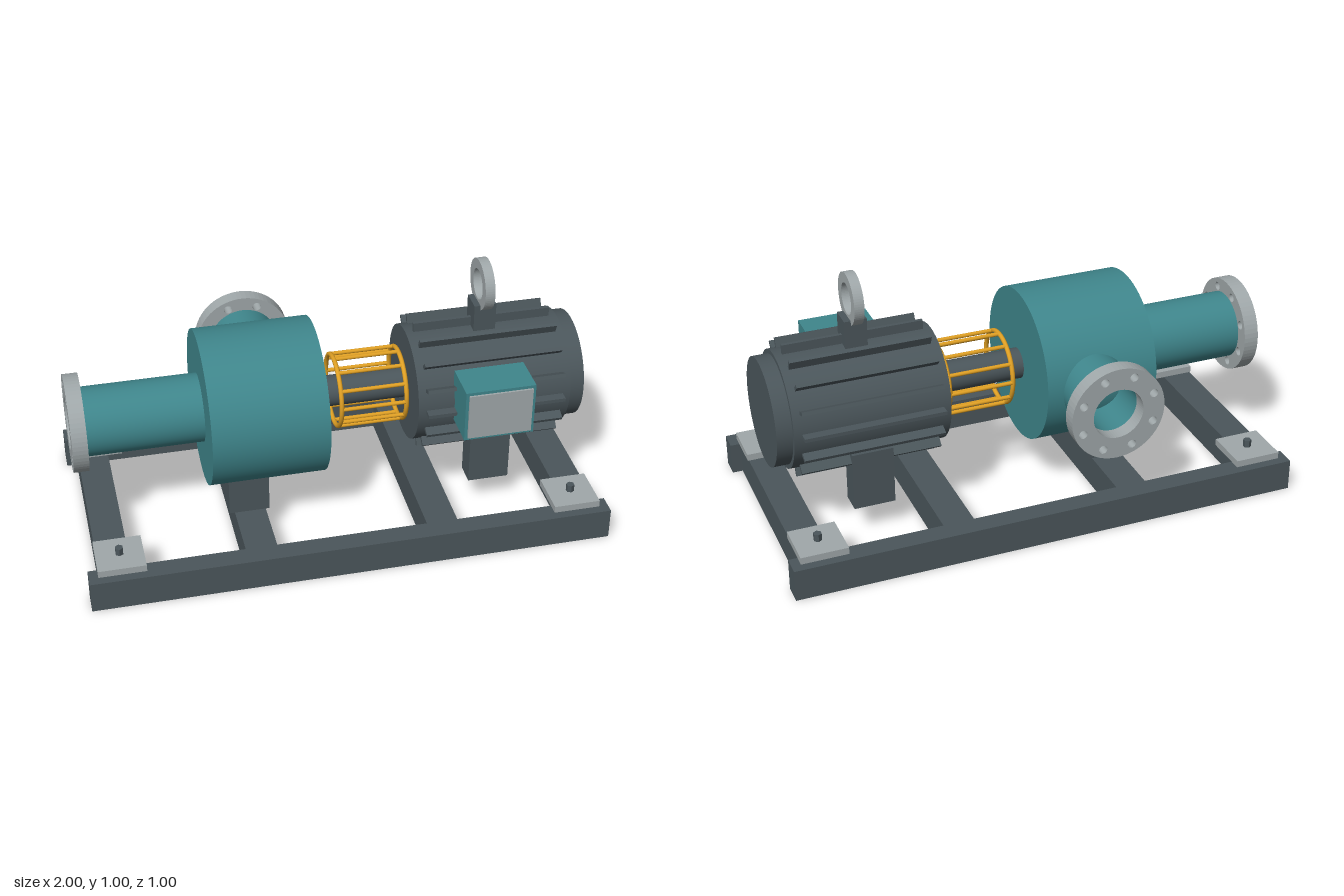
import * as THREE from 'three';

const paint = (color) => new THREE.MeshStandardMaterial({ color });
const teal = paint(0x3f868c), dark = paint(0x4b565b), steel = paint(0xa0a8aa), yellow = paint(0xe0a024);
const AXIS_Y = 0.5; // height of the common shaft line

export function createModel() {
  const model = new THREE.Group();
  model.name = 'motorPumpSkid';

  const add = (name, geometry, material, parent = model) => {
    const mesh = new THREE.Mesh(geometry, material);
    mesh.name = name;
    parent.add(mesh);
    return mesh;
  };
  // Box given by its lower and upper limits on each axis
  const box = (name, [x0, x1], [y0, y1], [z0, z1], material, parent) => {
    const mesh = add(name, new THREE.BoxGeometry(x1 - x0, y1 - y0, z1 - z0), material, parent);
    mesh.position.set((x0 + x1) / 2, (y0 + y1) / 2, (z0 + z1) / 2);
    return mesh;
  };
  // Cylinder lying on the shaft line
  const drum = (name, x0, x1, radius, material, parent) => {
    const geometry = new THREE.CylinderGeometry(radius, radius, x1 - x0, 72).rotateZ(Math.PI / 2);
    const mesh = add(name, geometry, material, parent);
    mesh.position.set((x0 + x1) / 2, AXIS_Y, 0);
    return mesh;
  };
  const group = (name) => {
    const g = new THREE.Group();
    g.name = name;
    model.add(g);
    return g;
  };
  // Flat ring in the xy plane, extruded along +z, with optional bolt holes
  const ring = (outer, inner, depth, holes = 0, pitch = 0, holeRadius = 0) => {
    const shape = new THREE.Shape().absarc(0, 0, outer, 0, Math.PI * 2);
    shape.holes.push(new THREE.Path().absarc(0, 0, inner, 0, Math.PI * 2, true));
    for (let i = 0; i < holes; i++) {
      const a = (i + 0.5) / holes * Math.PI * 2;
      shape.holes.push(new THREE.Path().absarc(pitch * Math.cos(a), pitch * Math.sin(a), holeRadius, 0, Math.PI * 2, true));
    }
    return new THREE.ExtrudeGeometry(shape, { depth, bevelEnabled: false, curveSegments: 32 });
  };

  // Base frame: two long rails and four cross members
  const base = group('baseFrame');
  for (const s of [-1, 1]) {
    box('rail', [-1, 1], [0, 0.125], s > 0 ? [0.42, 0.5] : [-0.5, -0.42], dark, base);
  }
  for (const x of [-0.9, -0.35, 0.35, 0.9]) {
    box('crossMember', [x - 0.06, x + 0.06], [0, 0.125], [-0.42, 0.42], dark, base);
  }

  // Corner mounting pads with hexagonal anchor bolts
  for (const x of [-0.875, 0.875]) {
    for (const z of [-0.375, 0.375]) {
      box('mountingPad', [x - 0.09, x + 0.09], [0.125, 0.152], [z - 0.09, z + 0.09], steel, base);
      const bolt = add('anchorBolt', new THREE.CylinderGeometry(0.016, 0.016, 0.04, 6).toNonIndexed(), dark, base);
      bolt.geometry.computeVertexNormals();
      bolt.position.set(x, 0.161, z);
    }
  }

  // Pump casing and feet
  const pump = group('pump');
  drum('pumpCasing', -0.5, -0.055, 0.3, teal, pump);
  for (const z of [[0.107, 0.195], [-0.195, -0.107]]) {
    box('pumpFoot', [-0.43, -0.275], [0.125, 0.277], z, dark, pump);
  }

  // Hollow nozzle along +z, ending in a drilled flange at z = length
  const nozzle = (name, inset, length) => {
    const g = new THREE.Group();
    g.name = name;
    const end = length - 0.058;
    const wall = [[0.132, inset], [0.132, end], [0.1, end], [0.1, inset]].map(([r, z]) => new THREE.Vector2(r, z));
    // Separate wall strips keep the rim sharp
    for (let i = 0; i < 3; i++) {
      const tube = new THREE.LatheGeometry([wall[i], wall[i + 1]], 64).rotateX(Math.PI / 2);
      add('nozzlePipe', tube, i === 0 ? teal : nozzleInside, g);
    }
    add('nozzleFlange', ring(0.186, 0.1, 0.058, 8, 0.152, 0.017), steel, g).position.z = end;
    pump.add(g);
    return g;
  };
  const nozzleInside = teal.clone();
  nozzleInside.side = THREE.DoubleSide;
  const inlet = nozzle('inletNozzle', 0.49, 1);
  inlet.position.y = AXIS_Y;
  inlet.rotation.y = -Math.PI / 2;
  const outlet = nozzle('outletNozzle', 0.265, 0.5);
  outlet.position.set(-0.25, AXIS_Y, 0);
  outlet.rotation.y = Math.PI;

  // Coupling shaft and its cage guard
  drum('shaft', -0.06, 0.31, 0.06, dark);
  const guard = group('couplingGuard');
  for (const x of [0.022, 0.275]) {
    const hoop = add('guardHoop', new THREE.TorusGeometry(0.14, 0.009, 10, 48).rotateY(Math.PI / 2), yellow, guard);
    hoop.position.set(x, AXIS_Y, 0);
  }
  for (let i = 0; i < 12; i++) {
    const a = i / 12 * Math.PI * 2;
    const rod = add('guardRod', new THREE.CylinderGeometry(0.008, 0.008, 0.255, 10).rotateZ(Math.PI / 2), yellow, guard);
    rod.position.set(0.1485, AXIS_Y + 0.14 * Math.sin(a), 0.14 * Math.cos(a));
  }

  // Motor body, end cover, cooling fins and feet
  const motor = group('motor');
  drum('motorBody', 0.3, 0.9, 0.225, dark, motor);
  drum('motorEndCover', 0.895, 0.96, 0.208, dark, motor);
  for (let i = 0; i < 16; i++) {
    const fin = add('coolingFin', new THREE.BoxGeometry(0.54, 0.06, 0.014).translate(0, 0.231, 0), dark, motor);
    fin.position.set(0.6, AXIS_Y, 0);
    fin.rotation.x = i / 16 * Math.PI * 2;
  }
  for (const z of [[0.107, 0.195], [-0.195, -0.107]]) {
    box('motorFoot', [0.52, 0.68], [0.125, 0.357], z, dark, motor);
  }

  // Terminal box with cover plate on the front of the motor
  box('terminalBox', [0.44, 0.71], [0.447, 0.657], [0.2, 0.36], teal, motor);
  box('terminalCover', [0.452, 0.698], [0.459, 0.645], [0.355, 0.368], steel, motor);

  // Lifting eye
  box('liftingBlock', [0.557, 0.643], [0.7, 0.83], [-0.045, 0.045], dark, motor);
  const eye = add('liftingEye', ring(0.1, 0.06, 0.038).rotateY(Math.PI / 2), steel, motor);
  eye.position.set(0.58, 0.9, 0);

  return model;
}
